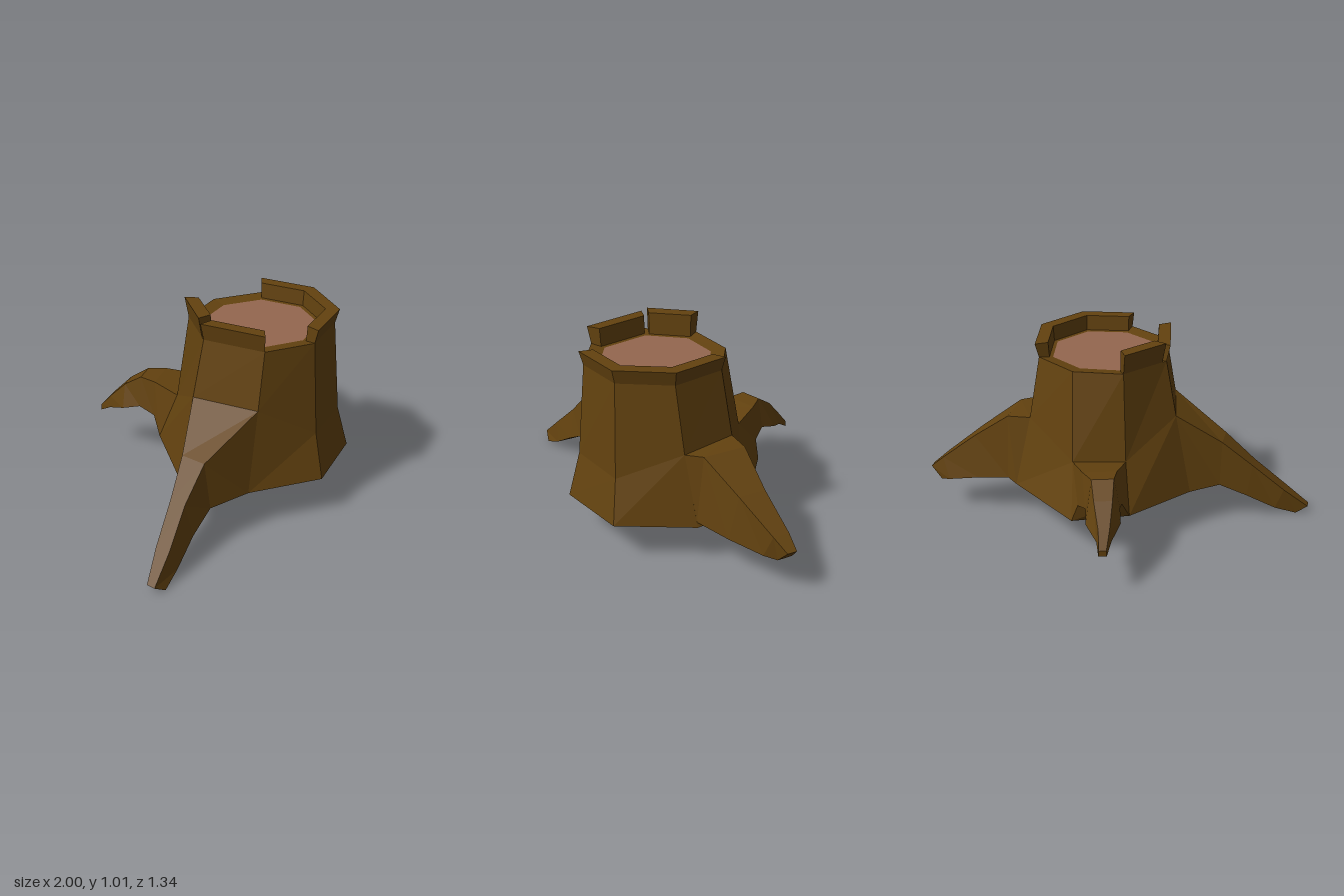
import * as THREE from 'three';

const bark = new THREE.MeshStandardMaterial({ color: 0x63420f, flatShading: true });
bark.name = 'bark brown';
const wood = new THREE.MeshStandardMaterial({ color: 0x94674f, flatShading: true });
wood.name = 'cut wood pink';

const mix = (a, b, t) => a.map((v, k) => v + (b[k] - v) * t);

// Moves a corner towards (-) or away from (+) the trunk axis, to a new height
function shift([x, , z], distance, y) {
  const dx = x - 0.1, dz = z - 0.22;
  const s = 1 + distance / Math.hypot(dx, dz);
  return [0.1 + dx * s, y, 0.22 + dz * s];
}

// Trunk rings of eight corners, running from the front towards +x
const top = [[0.03, 0.575], [0.29, 0.53], [0.44, 0.295], [0.39, 0.025],
  [0.17, -0.12], [-0.08, -0.09], [-0.25, 0.13], [-0.19, 0.44]].map(([x, z]) => [x, 0.91, z]);
const base = [[0, 0.67], [0.37, 0.595], [0.57, 0.245], [0.51, -0.06],
  [0.12, -0.36], [-0.15, -0.24], [-0.4, 0.08], [-0.32, 0.45]].map(([x, z]) => [x, 0.205, z]);
const mid = [0.44, 0.43, 0.57, 0.58, 0.46, 0.46, 0.62, 0.62].map((y, i) => {
  const [x, , z] = mix(base[i], top[i], 0.6);
  return [x, y, z];
});
const cut = top.map((p) => shift(p, -0.075, 0.9));

// Fan of triangles over a polygon given counter-clockwise
function polygon(out, pts) {
  for (let i = 1; i < pts.length - 1; i++) out.push(...pts[0], ...pts[i], ...pts[i + 1]);
}

// Skin through a row of equal sections, closed at the far end
function loft(out, sections) {
  for (let k = 0; k < sections.length - 1; k++) {
    const a = sections[k], b = sections[k + 1];
    a.forEach((p, j) => {
      const n = (j + 1) % a.length;
      polygon(out, [p, a[n], b[n], b[j]]);
    });
  }
  polygon(out, sections[sections.length - 1]);
}

function mesh(name, material, positions) {
  const g = new THREE.BufferGeometry();
  g.setAttribute('position', new THREE.Float32BufferAttribute(positions, 3));
  g.computeVertexNormals();
  const m = new THREE.Mesh(g, material);
  m.name = name;
  return m;
}

// Roots grow from the trunk side starting at corner `side`, heading along `angle`.
// Stations: x, z, upper y, lower y, upper half width, lower half width.
const leftRoot = { name: 'leftRoot', side: 2, angle: Math.PI / 2, lean: 0.02, stations: [
  [0.56, 0.1, 0.575, 0.23, 0.11, 0.145],
  [0.75, 0.06, 0.44, 0.21, 0.07, 0.11],
  [0.93, 0.008, 0.3, 0.185, 0.042, 0.068],
  [1, -0.01, 0.24, 0.175, 0.025, 0.038]] };
const backRoot = { name: 'backRoot', side: 4, angle: Math.PI + 0.31, lean: 0, stations: [
  [-0.02, -0.33, 0.485, 0.3, 0.085, 0.11],
  [-0.055, -0.41, 0.49, 0.33, 0.055, 0.085],
  [-0.082, -0.505, 0.425, 0.3, 0.045, 0.085],
  [-0.11, -0.6, 0.325, 0.26, 0.027, 0.036],
  [-0.12, -0.665, 0.25, 0.22, 0.018, 0.02]] };
const rightRoot = { name: 'rightRoot', side: 6, angle: -Math.PI / 2, lean: 0.02, stations: [
  [-0.54, 0.285, 0.443, 0.21, 0.065, 0.1],
  [-0.7, 0.315, 0.3, 0.135, 0.042, 0.075],
  [-0.87, 0.358, 0.15, 0.045, 0.038, 0.055],
  [-1, 0.392, 0.04, 0, 0.022, 0.037]] };
const roots = [leftRoot, backRoot, rightRoot];

// Four-cornered root section; the underside is set back further towards the tip
function rootSections({ angle, lean, stations }) {
  const s = Math.sin(angle), c = Math.cos(angle);
  return stations.map(([x, z, yTop, yLow, wTop, wLow], k) => {
    const corner = (y, w, back) => [x + c * w - s * back, y, z - s * w - c * back];
    return [corner(yLow, -wLow, lean * k), corner(yLow, wLow, lean * k),
      corner(yTop, wTop, 0), corner(yTop, -wTop, 0)];
  });
}

// Raised rim left around the cut; corner numbers may be fractional
const rims = [
  { name: 'frontRim', corners: [0, 1, 2, 3], height: 0.982 },
  { name: 'backRim', corners: [5, 5.9], height: 1.015 },
  { name: 'sideRim', corners: [6, 7], height: 0.997 },
];

function rimSection(corner, height) {
  const i = Math.floor(corner);
  const outer = mix(top[i], top[(i + 1) % 8], corner - i);
  return [outer, shift(outer, -0.056, 0.9), shift(outer, -0.05, height), shift(outer, 0.02, height)];
}

export function createModel() {
  const group = new THREE.Group();
  group.name = 'treeStump';

  // Trunk walls, left open where a root leaves, plus ledge and underside
  const trunk = [];
  for (let i = 0; i < 8; i++) {
    const n = (i + 1) % 8;
    polygon(trunk, [mid[i], mid[n], top[n], top[i]]);
    if (!roots.some((r) => r.side === i)) polygon(trunk, [base[i], base[n], mid[n], mid[i]]);
    polygon(trunk, [top[i], top[n], cut[n], cut[i]]);
  }
  polygon(trunk, [...base].reverse());
  group.add(mesh('trunk', bark, trunk));

  // Cut face
  const face = [];
  polygon(face, cut);
  group.add(mesh('cutFace', wood, face));

  // Roots
  for (const root of roots) {
    const out = [], i = root.side, n = i + 1;
    loft(out, [[base[i], base[n], mid[n], mid[i]], ...rootSections(root)]);
    group.add(mesh(root.name, bark, out));
  }

  // Rim pieces, closed at both ends
  for (const { name, corners, height } of rims) {
    const out = [], sections = corners.map((c) => rimSection(c, height));
    loft(out, sections);
    polygon(out, [...sections[0]].reverse());
    group.add(mesh(name, bark, out));
  }
  return group;
}
